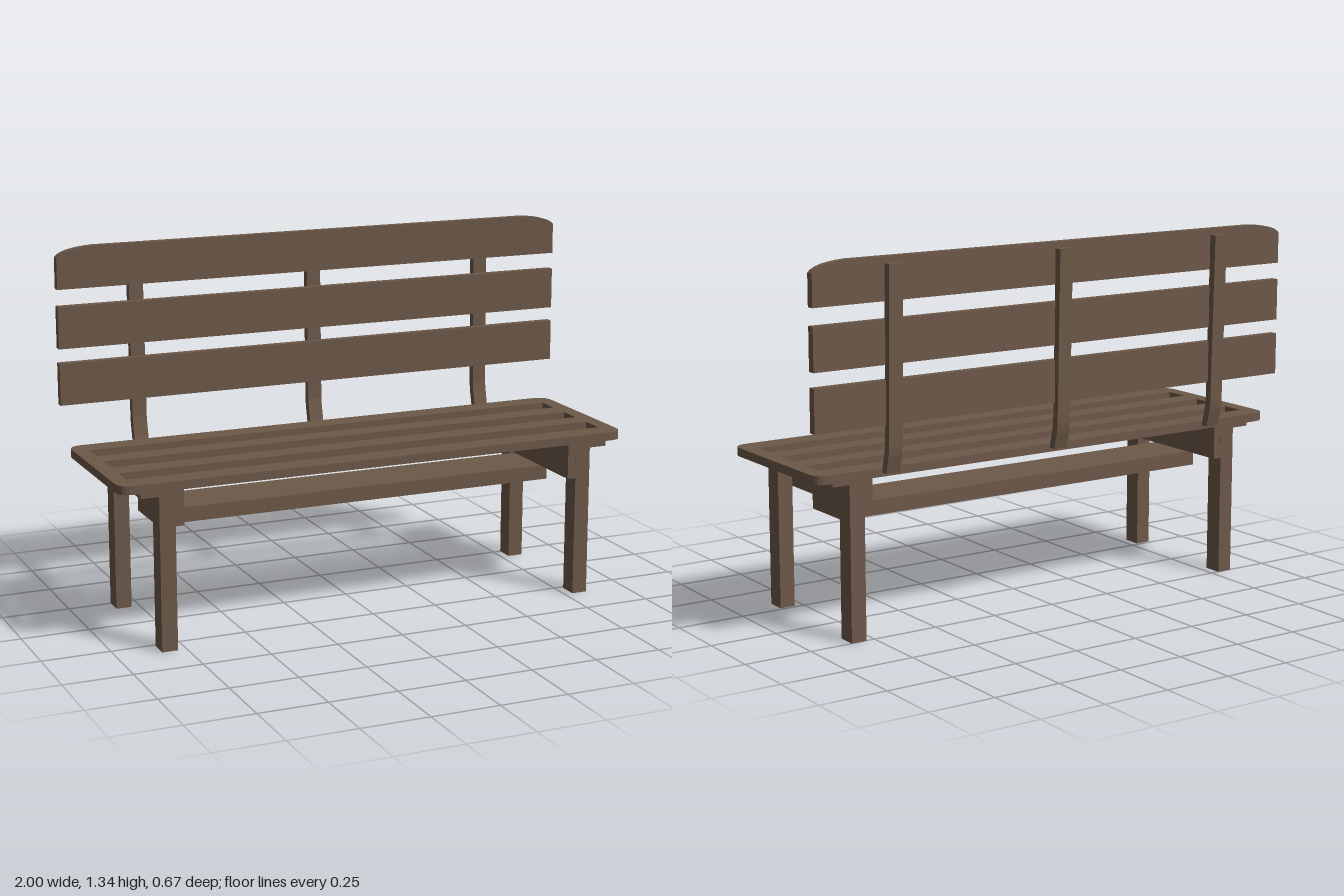
import * as THREE from 'three';

export function createModel() {
  const bench = new THREE.Group();
  bench.name = 'bench';
  const wood = new THREE.MeshStandardMaterial({ color: 0x6d5949 });
  wood.name = 'brown wood';

  function add(name, geometry) {
    const mesh = new THREE.Mesh(geometry, wood);
    mesh.name = name;
    bench.add(mesh);
    return mesh;
  }

  // box given by its lower and upper bounds
  function box(name, x0, x1, y0, y1, z0, z1) {
    const mesh = add(name, new THREE.BoxGeometry(x1 - x0, y1 - y0, z1 - z0));
    mesh.position.set((x0 + x1) / 2, (y0 + y1) / 2, (z0 + z1) / 2);
    return mesh;
  }

  const extrude = (shape, depth) =>
    new THREE.ExtrudeGeometry(shape, { depth, bevelEnabled: false, curveSegments: 6 });

  // seat: rounded board with three long slots, drawn in x and -z
  const sx = 0.98, front = -0.333, back = 0.273, r = 0.055;
  const seat = new THREE.Shape();
  seat.moveTo(-sx + r, front);
  seat.lineTo(sx - r, front);
  seat.quadraticCurveTo(sx, front, sx, front + r);
  seat.lineTo(sx, back - r);
  seat.quadraticCurveTo(sx, back, sx - r, back);
  seat.lineTo(-sx + r, back);
  seat.quadraticCurveTo(-sx, back, -sx, back - r);
  seat.lineTo(-sx, front + r);
  seat.quadraticCurveTo(-sx, front, -sx + r, front);
  for (const [a, b] of [[-0.245, -0.155], [-0.072, 0.018], [0.1, 0.188]]) {
    const slot = new THREE.Path();
    slot.moveTo(-0.925, a);
    slot.lineTo(-0.925, b);
    slot.lineTo(0.925, b);
    slot.lineTo(0.925, a);
    slot.closePath();
    seat.holes.push(slot);
  }
  const seatMesh = add('seat', extrude(seat, 0.031));
  seatMesh.rotation.x = -Math.PI / 2;
  seatMesh.position.y = 0.577;

  // supports, mirrored left and right
  for (const [side, s] of [['left', 1], ['right', -1]]) {
    const pair = (name, a, b, ...rest) =>
      box(side + name, Math.min(a * s, b * s), Math.max(a * s, b * s), ...rest);
    pair('SeatCleat', 0.75, 0.907, 0.559, 0.577, -0.251, 0.333);
    pair('Apron', 0.75, 0.782, 0.448, 0.559, -0.25, 0.332);
    pair('FrontLeg', 0.782, 0.84, 0, 0.559, 0.262, 0.333);
    pair('BackLeg', 0.782, 0.84, 0, 0.559, -0.251, -0.18);
  }
  box('stretcher', -0.778, 0.778, 0.393, 0.447, -0.09, 0.12);

  // backrest boards
  box('lowerBackSlat', -1, 1, 0.761, 0.915, -0.303, -0.273);
  box('middleBackSlat', -1, 1, 0.968, 1.122, -0.303, -0.273);
  const top = new THREE.Shape();
  top.moveTo(-1, 1.184);
  top.lineTo(1, 1.184);
  top.lineTo(1, 1.298);
  top.bezierCurveTo(0.985, 1.32, 0.93, 1.332, 0.86, 1.335);
  top.lineTo(-0.86, 1.335);
  top.bezierCurveTo(-0.93, 1.332, -0.985, 1.32, -1, 1.298);
  add('topBackSlat', extrude(top, 0.03)).position.z = -0.303;

  // bent uprights, side profile in -z and y, with small screw heads
  const profile = new THREE.Shape([
    [0.272, 0.592], [0.3, 0.592], [0.316, 0.655], [0.32, 0.685], [0.333, 1.312],
    [0.304, 1.312], [0.293, 0.69], [0.289, 0.665],
  ].map(([z, y]) => new THREE.Vector2(z, y)));
  for (const x of [-0.697, 0, 0.697]) {
    const upright = add('backUpright', extrude(profile, 0.054));
    upright.rotation.y = Math.PI / 2;
    upright.position.x = x - 0.027;
    for (const y of [0.835, 1.043, 1.25]) {
      const screw = add('screwHead', new THREE.CylinderGeometry(0.008, 0.008, 0.004, 10));
      screw.rotation.x = Math.PI / 2;
      screw.position.set(x, y, -0.273);
    }
  }
  return bench;
}
